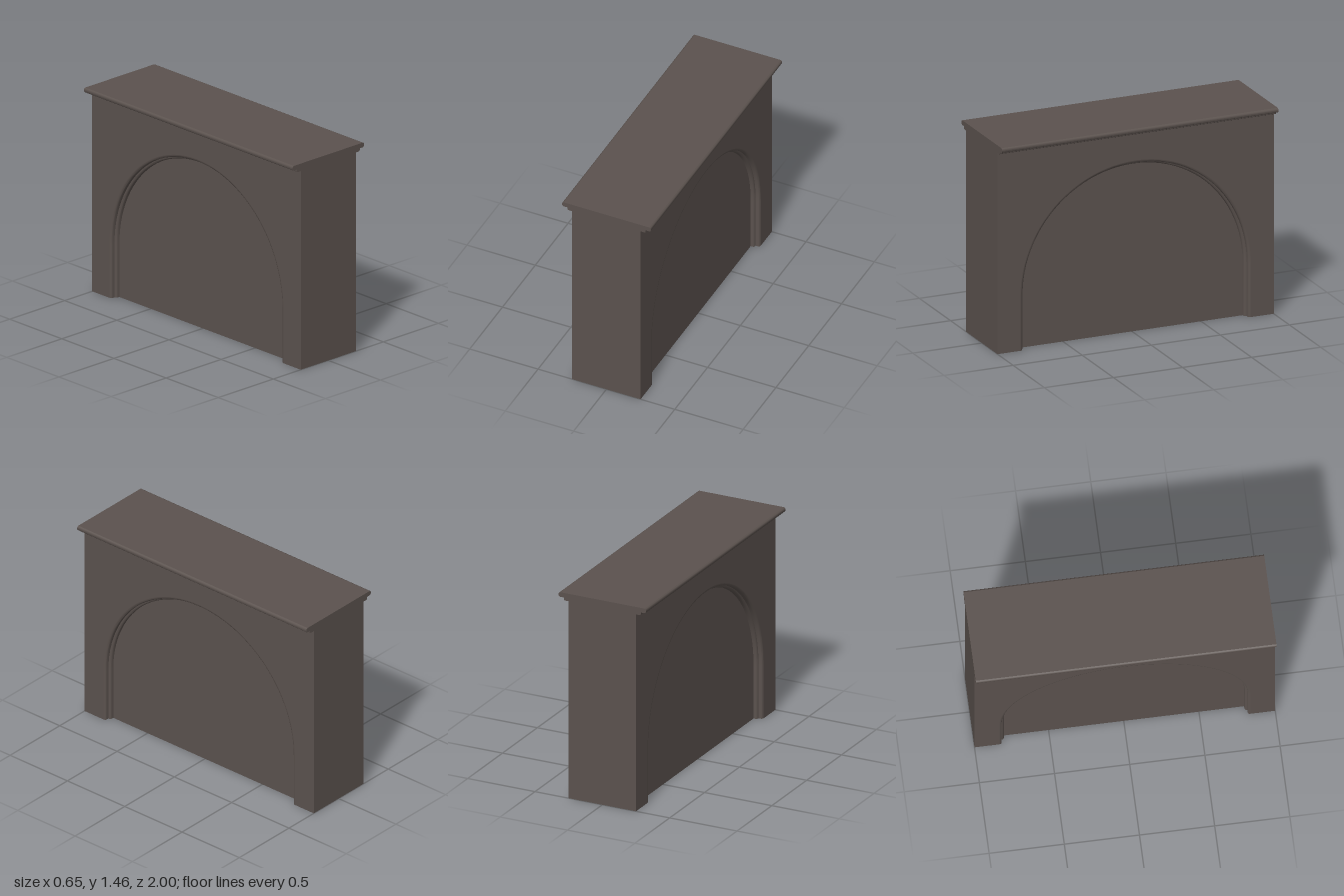
import * as THREE from 'three';
import { toCreasedNormals } from 'three/addons/utils/BufferGeometryUtils.js';

const HALF = 1, WALL = 0.25, PANEL = 0.192, TOP = 1.455;
const OUTER = 0.835, INNER = 0.8, SPRING = 0.375, STEPS = 48;

// Moulding outline: [projection from wall, height]
const cornice = [
  [0.25, 1.402], [0.279, 1.402], [0.284, 1.405], [0.286, 1.411], [0.286, 1.422],
  [0.313, 1.422], [0.32, 1.425], [0.324, 1.431], [0.325, 1.438],
  [0.324, 1.446], [0.32, 1.452], [0.313, TOP],
];

// Arch surround outline: [radius, depth], two rounded steps going inwards
const archSteps = [
  [OUTER, 0.25], [0.827, 0.249], [0.821, 0.245], [0.818, 0.239], [0.818, 0.22],
  [0.809, 0.219], [0.803, 0.215], [INNER, 0.209], [INNER, PANEL],
];

// Surface through rows of points, all rows of the same length
function loft(rows) {
  const n = rows[0].length, index = [];
  for (let i = 0; i < rows.length - 1; i++) {
    for (let j = 0; j < n - 1; j++) {
      const a = i * n + j, b = a + n;
      index.push(a, b, a + 1, b, b + 1, a + 1);
    }
  }
  const g = new THREE.BufferGeometry();
  g.setAttribute('position', new THREE.Float32BufferAttribute(rows.flat(2), 3));
  g.setIndex(index);
  return toCreasedNormals(g, 0.7);
}

// Round-headed arch line from the right foot to the left foot
function archLine(r) {
  const pts = [new THREE.Vector2(r, 0)];
  for (let i = 0; i <= STEPS; i++) {
    const a = (Math.PI * i) / STEPS;
    pts.push(new THREE.Vector2(r * Math.cos(a), SPRING + r * Math.sin(a)));
  }
  pts.push(new THREE.Vector2(-r, 0));
  return pts;
}

export function createModel() {
  const stone = new THREE.MeshStandardMaterial({ color: 0x5b524e, side: THREE.DoubleSide });
  stone.name = 'brown stone';
  const model = new THREE.Group();
  model.name = 'archedWall';

  const add = (parent, name, geometry) => {
    const mesh = new THREE.Mesh(geometry, stone);
    mesh.name = name;
    parent.add(mesh);
    return mesh;
  };

  // Long faces: wall with an arched opening, moulded surround, recessed panel, cornice
  for (const [name, turn] of [['leftSide', 1], ['rightSide', -1]]) {
    const side = new THREE.Group();
    side.name = name;
    side.rotation.y = (turn * Math.PI) / 2;
    model.add(side);

    const wall = new THREE.Shape([
      new THREE.Vector2(HALF, 0), new THREE.Vector2(HALF, 1.402),
      new THREE.Vector2(-HALF, 1.402), new THREE.Vector2(-HALF, 0),
      ...archLine(OUTER).reverse(),
    ]);
    add(side, 'wallFace', new THREE.ShapeGeometry(wall)).position.z = WALL;
    add(side, 'recessedPanel', new THREE.ShapeGeometry(new THREE.Shape(archLine(INNER)))).position.z = PANEL;

    const lines = archSteps.map(([r]) => archLine(r));
    add(side, 'archMoulding', loft(lines[0].map((_, i) =>
      archSteps.map(([, depth], j) => [lines[j][i].x, lines[j][i].y, depth]))));

    add(side, 'cornice', loft([-HALF, HALF].map((x) => cornice.map(([out, y]) => [x, y, out]))));
  }

  // Flat ends follow the cornice outline
  const half = [[WALL, 0], ...cornice];
  const outline = [...half, ...half.map(([x, y]) => [-x, y]).reverse()];
  const endShape = new THREE.Shape(outline.map(([x, y]) => new THREE.Vector2(x, y)));
  for (const [name, z] of [['frontEnd', HALF], ['backEnd', -HALF]]) {
    const end = add(model, name, new THREE.ShapeGeometry(endShape));
    end.position.z = z;
    if (z < 0) end.rotation.y = Math.PI;
  }

  // Top slab surface; the underside stays open
  const top = add(model, 'top', new THREE.PlaneGeometry(0.626, 2 * HALF));
  top.rotation.x = -Math.PI / 2;
  top.position.y = TOP;

  return model;
}
